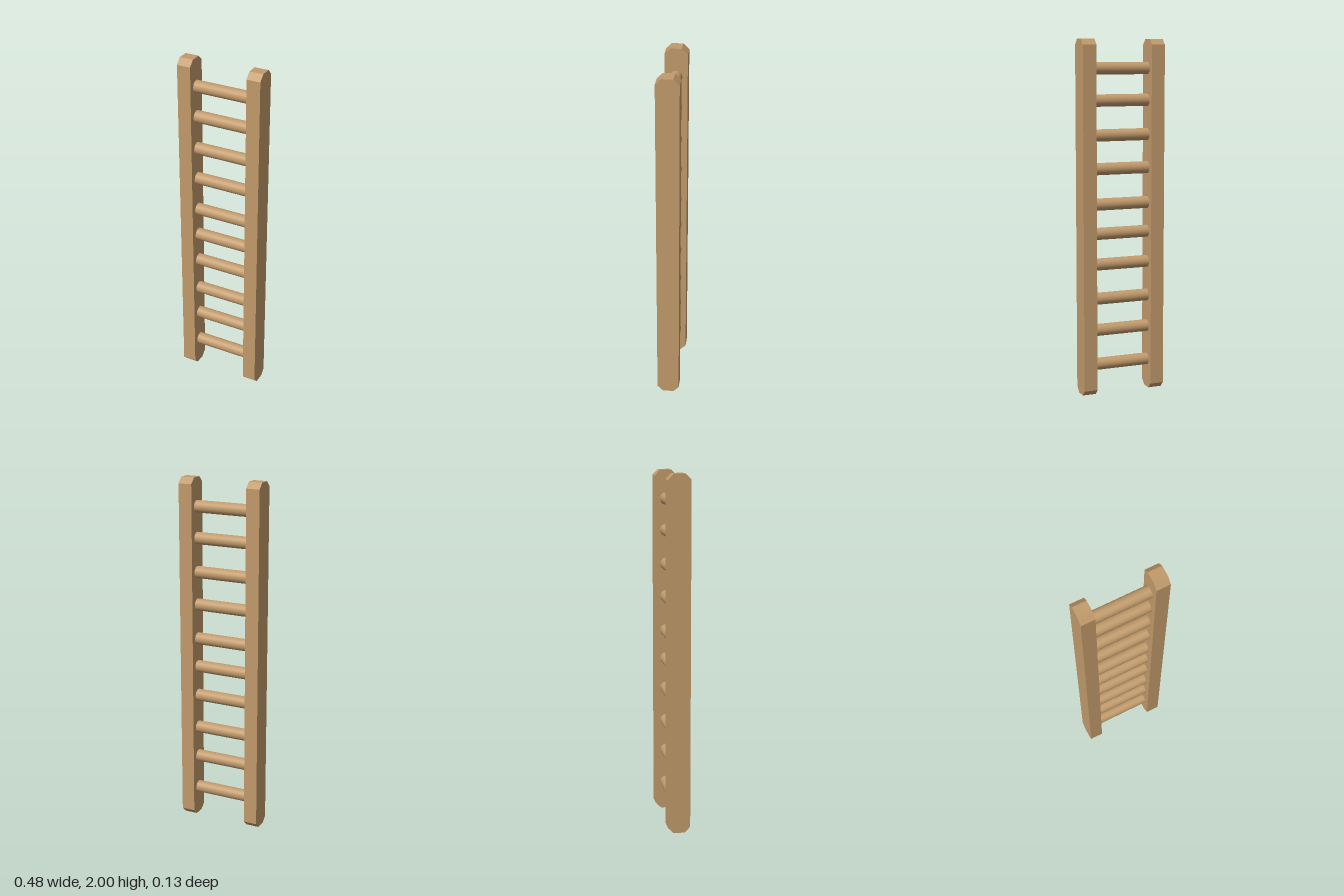
import * as THREE from 'three';

const RAIL_INNER = 0.163, RAIL_WIDTH = 0.078;
const RAIL_HEIGHT = 2, HALF_DEPTH = 0.063, CHAMFER = 0.032;
const RUNG_RADIUS = 0.034;
const RUNG_HEIGHTS = [0.167, 0.366, 0.548, 0.745, 0.92, 1.086, 1.285, 1.472, 1.664, 1.84];

// Upright with chamfered ends: side profile extruded across its width
function railGeometry() {
  const d = HALF_DEPTH, c = CHAMFER, h = RAIL_HEIGHT;
  const profile = new THREE.Shape([
    [-d + c, 0], [d - c, 0], [d, c], [d, h - c],
    [d - c, h], [-d + c, h], [-d, h - c], [-d, c],
  ].map(([z, y]) => new THREE.Vector2(z, y)));
  const geometry = new THREE.ExtrudeGeometry(profile, { depth: RAIL_WIDTH, bevelEnabled: false });
  geometry.translate(0, 0, -RAIL_WIDTH / 2);
  geometry.rotateY(Math.PI / 2);
  return geometry;
}

export function createModel() {
  const wood = new THREE.MeshStandardMaterial({ color: 0xc19a6b });
  wood.name = 'wood';

  const ladder = new THREE.Group();
  ladder.name = 'ladder';

  // Two side rails
  const rail = railGeometry();
  for (const [name, side] of [['leftRail', 1], ['rightRail', -1]]) {
    const mesh = new THREE.Mesh(rail, wood);
    mesh.name = name;
    mesh.position.x = side * (RAIL_INNER + RAIL_WIDTH / 2);
    ladder.add(mesh);
  }

  // Round rungs, slightly unevenly spaced, seated just inside the rails
  const rung = new THREE.CylinderGeometry(RUNG_RADIUS, RUNG_RADIUS, 2 * RAIL_INNER + 0.02, 32);
  rung.rotateZ(Math.PI / 2);
  RUNG_HEIGHTS.forEach((y, i) => {
    const mesh = new THREE.Mesh(rung, wood);
    mesh.name = `rung${i + 1}`;
    mesh.position.y = y;
    ladder.add(mesh);
  });

  return ladder;
}
